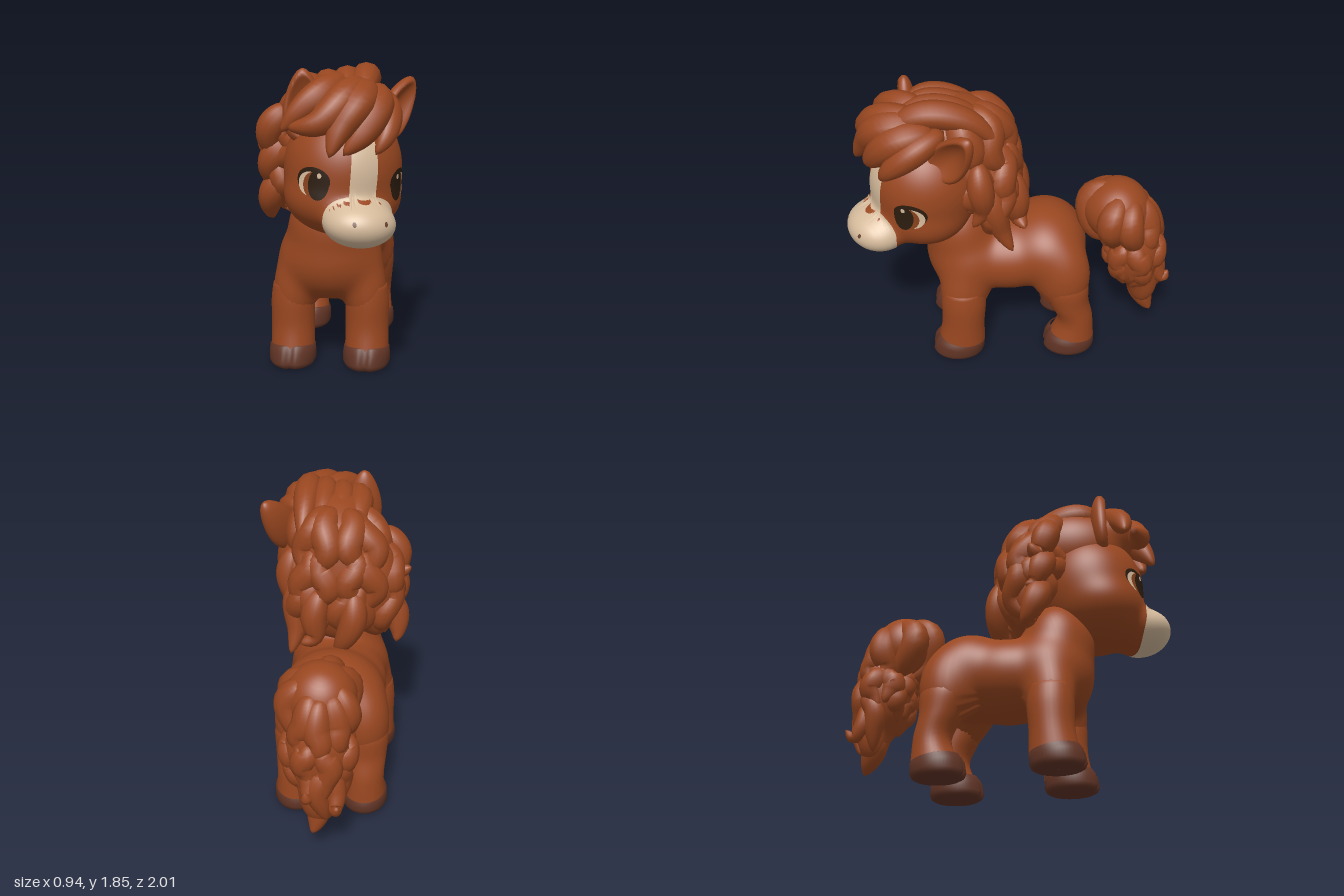
import * as THREE from 'three';
import { mergeVertices, mergeGeometries } from 'three/addons/utils/BufferGeometryUtils.js';

const paint = (name, color) => Object.assign(new THREE.MeshStandardMaterial({ color }), { name });
const V = (x, y, z) => new THREE.Vector3(x, y, z);
const dirOf = (az, el) => V(Math.cos(el) * Math.sin(az), Math.sin(el), Math.cos(el) * Math.cos(az));

// Distance along a direction to a soft union of ellipsoids [cx, cy, cz, rx, ry, rz]
function reach(c, d, ells, k = 0.018) {
  let lo = 0, hi = 1.2;
  for (let i = 0; i < 22; i++) {
    const t = (lo + hi) / 2;
    let sum = 0;
    for (const e of ells) {
      const q = Math.hypot((c.x + d.x * t - e[0]) / e[3], (c.y + d.y * t - e[1]) / e[4], (c.z + d.z * t - e[2]) / e[5]);
      sum += Math.exp(-(q - 1) * Math.min(e[3], e[4], e[5]) / k);
    }
    if (sum > 1) lo = t; else hi = t;
  }
  return lo;
}

function weld(g) {
  g.deleteAttribute('uv');
  g.deleteAttribute('normal');
  const out = mergeVertices(g, 1e-5);
  out.computeVertexNormals();
  return out;
}

// Rounded volume: a sphere pushed out to the soft union
function blob(c, ells, w = 80, h = 60, k = 0.018) {
  const g = new THREE.SphereGeometry(1, w, h), p = g.attributes.position, d = V(0, 0, 0);
  for (let i = 0; i < p.count; i++) {
    d.fromBufferAttribute(p, i).normalize();
    d.multiplyScalar(reach(c, d, ells, k)).add(c);
    p.setXYZ(i, d.x, d.y, d.z);
  }
  return weld(g);
}

// Skin over elliptical rings [y, cx, cz, rx, rz], listed upwards
function loft(rings, sides, tweak = () => {}) {
  const pos = [], idx = [];
  rings.forEach(([y, cx, cz, rx, rz], j) => {
    for (let i = 0; i < sides; i++) {
      const a = i / sides * Math.PI * 2, v = V(rx * Math.sin(a), y, rz * Math.cos(a));
      tweak(v, j);
      pos.push(v.x + cx, v.y, v.z + cz);
      if (j) {
        const n = (i + 1) % sides, A = (j - 1) * sides, B = j * sides;
        idx.push(A + i, A + n, B + n, A + i, B + n, B + i);
      }
    }
  });
  const g = new THREE.BufferGeometry();
  g.setAttribute('position', new THREE.Float32BufferAttribute(pos, 3));
  g.setIndex(idx);
  g.computeVertexNormals();
  return g;
}

function smoothRings(rings, n = 24) {
  const a = new THREE.CatmullRomCurve3(rings.map(r => V(r[1], r[0], r[2])));
  const b = new THREE.CatmullRomCurve3(rings.map(r => V(r[3], 0, r[4])));
  return Array.from({ length: n + 1 }, (_, i) => {
    const p = a.getPoint(i / n), q = b.getPoint(i / n);
    return [p.y, p.x, p.z, q.x, q.z];
  });
}

// Tapered lock of hair through the points
function lock(pts, r) {
  const seg = 22, rad = 12, path = new THREE.CatmullRomCurve3(pts);
  const g = new THREE.TubeGeometry(path, seg, r, rad), p = g.attributes.position, v = V(0, 0, 0);
  for (let i = 0; i < p.count; i++) {
    const t = Math.floor(i / (rad + 1)) / seg, c = path.getPointAt(t);
    const s = Math.pow(Math.max(0, Math.sin(Math.PI * Math.pow(t, 0.75))), 0.65);
    v.fromBufferAttribute(p, i).sub(c).multiplyScalar(s).add(c);
    p.setXYZ(i, v.x, v.y, v.z);
  }
  return weld(g);
}
const freeLock = ([r, ...pts]) => lock(pts.map(q => V(...q)), r);

// Lock lying on a rounded volume, following [azimuth, elevation] pairs
function lockOn(c, ells, path, r, sink) {
  return lock(path.map(([az, el], i) => {
    const d = dirOf(az, el), lift = i === path.length - 1 ? 0.01 : -sink;
    return d.multiplyScalar(reach(c, d, ells) + lift).add(c);
  }), r);
}

// Wavy locks hanging in rows [top elevation, drop, count, radius]
function lockRows(c, ells, rows, from, span, sink) {
  return rows.flatMap(([top, drop, n, r], row) => Array.from({ length: n }, (_, i) => {
    const az = from + (i + (row % 2) * 0.4) / n * span, w = i % 2 ? 0.14 : -0.14;
    const len = drop * (0.9 + 0.07 * ((i * 5) % 3));
    return lockOn(c, ells, [[az, top], [az + w, top + len * 0.33], [az - w * 0.4, top + len * 0.64],
      [az + w * 0.8, top + len * 0.88], [az + w * 2, top + len]], r, sink);
  }));
}

export function createModel() {
  const coat = paint('chestnut coat', 0x994720), hoofBrown = paint('hoof brown', 0x613425);
  const cream = paint('cream', 0xd6bb9c), dark = paint('eye dark', 0x2c1c0f);
  const iris = paint('iris brown', 0x87421d), nostrilBrown = paint('nostril brown', 0x6b4431);
  const root = new THREE.Group();
  const add = (parent, name, geo, mat) => {
    const m = new THREE.Mesh(geo, mat);
    m.name = name;
    parent.add(m);
    return m;
  };

  // Torso and neck with shoulders and haunches blended in
  const joints = [-1, 1].flatMap(s => [
    [-0.02 + s * 0.215, 0.45, 0.32, 0.125, 0.22, 0.14], [-0.02 + s * 0.2, 0.56, -0.31, 0.15, 0.24, 0.165]]);
  add(root, 'body', blob(V(-0.02, 0.65, 0.05), [
    [-0.02, 0.66, 0.28, 0.3, 0.26, 0.26], [-0.03, 0.65, 0.03, 0.3, 0.25, 0.3],
    [-0.02, 0.7, -0.2, 0.31, 0.26, 0.26], [-0.01, 0.86, 0.33, 0.25, 0.26, 0.22], ...joints], 110, 84, 0.026), coat);

  // Legs and hooves
  const legShapes = {
    front: [0.225, [[0.08, 0.34, 0.133, 0.15], [0.25, 0.325, 0.13, 0.135], [0.38, 0.32, 0.132, 0.14],
      [0.5, 0.32, 0.118, 0.13], [0.56, 0.32, 0.002, 0.002]], 0.36],
    hind: [0.21, [[0.08, -0.365, 0.133, 0.15], [0.24, -0.39, 0.12, 0.113], [0.38, -0.345, 0.132, 0.128],
      [0.5, -0.32, 0.14, 0.15], [0.6, -0.31, 0.1, 0.11], [0.64, -0.31, 0.002, 0.002]], -0.35],
  };
  for (const [kind, [off, rings, z]] of Object.entries(legShapes)) for (const s of [-1, 1]) {
    const x = -0.02 + s * off, side = s > 0 ? 'Left' : 'Right', tz = rings[0][1];
    add(root, kind + 'Leg' + side, loft(smoothRings(rings.map(([y, cz, rx, rz]) => [y, x, cz, rx, rz])), 32), coat);
    add(root, kind + 'Hoof' + side, loft([
      [0, x, z, 0.001, 0.001], [0, x, z, 0.115, 0.14], [0.01, x, z, 0.13, 0.157], [0.035, x, z, 0.142, 0.167],
      [0.08, x, z - 0.005, 0.142, 0.16], [0.116, x, tz, 0.138, 0.151], [0.122, x, tz, 0.125, 0.135]], 48, (v, j) => {
      if (v.z > 0) v.z *= 1 - 0.12 * Math.exp(-((v.x / 0.02) ** 2)); // cleft
      if (j > 3) v.y += 0.14 * v.z;                                  // sloping top
    }), hoofBrown);
  }

  // Head, turned towards its left
  const head = new THREE.Group();
  head.name = 'head';
  head.position.set(0.068, 1.24, 0.51);
  head.rotation.set(0, 0.45, -0.08);
  root.add(head);
  const O = V(0, 0, 0);
  const skull = [[0, 0.03, 0.015, 0.335, 0.35, 0.335], [0, -0.14, 0.05, 0.335, 0.225, 0.29], [0, -0.235, 0.33, 0.2, 0.13, 0.18]];
  add(head, 'skull', blob(O, skull, 120, 90), coat);

  // Painted patch lying on the head: superellipse in azimuth and elevation
  const decal = (name, az, el, rx, ry, lift, mat, power = 2) => {
    const R = 20, N = 56, pos = [], idx = [];
    for (let j = 0; j <= R; j++) for (let i = 0; i < N; i++) {
      const a = i / N * Math.PI * 2, c = Math.cos(a), s = Math.sin(a);
      const q = j / R / Math.pow(Math.abs(c) ** power + Math.abs(s) ** power, 1 / power);
      const d = dirOf(az + rx * q * c, el + ry * q * s);
      d.multiplyScalar(reach(O, d, skull) + lift);
      pos.push(d.x, d.y, d.z);
      if (j) {
        const n = (i + 1) % N, A = (j - 1) * N, B = j * N;
        idx.push(A + i, B + i, B + n, A + i, B + n, A + n);
      }
    }
    const g = new THREE.BufferGeometry();
    g.setAttribute('position', new THREE.Float32BufferAttribute(pos, 3));
    g.setIndex(idx);
    g.computeVertexNormals();
    add(head, name, g, mat);
  };
  decal('muzzlePatch', 0, -0.55, 0.6, 0.33, 0.007, cream, 2.3);
  decal('blaze', 0, 0.13, 0.225, 0.62, 0.005, cream, 5);
  for (const s of [-1, 1]) {
    decal('upperLash', s * 0.83, -0.05, 0.3, 0.21, 0.002, dark);
    decal('eyeWhite', s * 0.86, -0.1, 0.23, 0.185, 0.004, cream);
    decal('iris', s * 0.79, -0.11, 0.2, 0.2, 0.0055, iris);
    decal('pupil', s * 0.72, -0.1, 0.175, 0.23, 0.007, dark);
    decal('eyeGlint', s * 0.71, 0.04, 0.038, 0.042, 0.0085, cream);
    decal('nostril', s * 0.185, -0.39, 0.022, 0.02, 0.009, nostrilBrown);
  }

  // Cupped ears
  for (const s of [-1, 1]) {
    const g = new THREE.SphereGeometry(1, 36, 28), p = g.attributes.position;
    for (let i = 0; i < p.count; i++) {
      const x = p.getX(i), y = p.getY(i), z = p.getZ(i);
      const dish = z > 0 ? 0.085 * Math.max(0, 1 - (x * x + y * y) / 0.7) : 0;
      p.setXYZ(i, x * 0.115 * (1 - 0.3 * y), y * 0.21, z * 0.065 - dish);
    }
    const ear = add(head, s > 0 ? 'leftEar' : 'rightEar', weld(g), coat);
    ear.position.set(s > 0 ? 0.315 : -0.265, 0.36, s > 0 ? -0.005 : 0.03);
    ear.rotation.set(0, s > 0 ? 0.5 : -0.3, s > 0 ? -0.6 : 0.1);
  }

  // Mane: rounded under-volume, then broad locks flowing over it
  const H = V(-0.01, 1.35, 0.36);
  const hair = [[0.02, 1.51, 0.4, 0.27, 0.27, 0.36], [0.07, 1.61, 0.66, 0.2, 0.13, 0.2],
    [-0.25, 1.23, 0.2, 0.14, 0.33, 0.14], [-0.02, 1.26, 0.13, 0.25, 0.36, 0.15], [0.17, 1.17, 0.14, 0.11, 0.27, 0.12]];
  add(root, 'maneVolume', blob(H, hair), coat);
  const shell = [...hair, [0.06, 1.27, 0.48, 0.3, 0.33, 0.3]];
  const maneLocks = lockRows(H, shell, [[1.3, -1.25, 6, 0.1], [0.55, -1.1, 7, 0.092], [-0.05, -0.95, 7, 0.085]], 1.95, 2.95, 0.04);
  // flicked locks down the right side
  for (let i = 0; i < 3; i++) {
    const y = 1.5 - 0.2 * i, z = 0.33 - 0.03 * i;
    maneLocks.push(freeLock([0.085, [-0.26, y + 0.08, z], [-0.37, y - 0.06, z], [-0.39, y - 0.18, z - 0.05],
      [-0.46 + 0.04 * i, y - 0.14 - 0.05 * i, z - 0.09]]));
  }
  // locks at the nape and down the left side
  const napeLocks = [
    [0.085, [-0.12, 1.3, 0.02], [-0.12, 1.1, -0.02], [-0.06, 0.95, -0.02], [0, 0.86, 0.02]],
    [0.085, [0.08, 1.3, 0.02], [0.12, 1.12, -0.01], [0.12, 0.98, -0.03], [0.2, 0.95, -0.07]],
    [0.08, [0.18, 1.35, 0.18], [0.25, 1.16, 0.13], [0.24, 0.97, 0.08], [0.27, 0.83, 0.01]],
    [0.08, [0.26, 1.48, 0.22], [0.3, 1.3, 0.2], [0.27, 1.14, 0.19], [0.29, 1.03, 0.25]],
  ];
  maneLocks.push(...napeLocks.map(freeLock));
  add(root, 'maneLocks', mergeGeometries(maneLocks), coat);

  // Forelock sweeping from the crown across the brow
  const browLocks = [
    [0.1, [0.2, 1.72, 0.5], [0.11, 1.68, 0.76], [-0.03, 1.56, 0.86], [-0.2, 1.53, 0.84]],
    [0.1, [0.22, 1.71, 0.5], [0.18, 1.66, 0.76], [0.09, 1.53, 0.86], [0.04, 1.39, 0.94]],
    [0.1, [0.26, 1.69, 0.45], [0.27, 1.62, 0.69], [0.21, 1.5, 0.8], [0.11, 1.39, 0.87]],
    [0.085, [0.25, 1.68, 0.4], [0.33, 1.58, 0.59], [0.33, 1.47, 0.72], [0.28, 1.38, 0.78]],
    [0.09, [0.1, 1.75, 0.5], [-0.02, 1.7, 0.7], [-0.14, 1.61, 0.77], [-0.24, 1.5, 0.8]],
  ];
  const forelock = browLocks.map(freeLock);
  // arches running back over the crown
  for (let i = 0; i < 4; i++) {
    const x = 0.2 - 0.08 * i, u = 0.025 * i;
    forelock.push(freeLock([0.085, [x, 1.68, 0.73 - u], [x - u, 1.76 - u * 0.7, 0.5], [x - u, 1.71 - u, 0.26],
      [x - u, 1.54 - u, 0.07 + u]]));
  }
  add(root, 'forelock', mergeGeometries(forelock), coat);

  // Bushy tail
  const T = V(0, 0.72, -0.73);
  const tail = [[0.01, 0.95, -0.65, 0.21, 0.205, 0.2], [0.01, 0.66, -0.77, 0.2, 0.28, 0.17],
    [0, 0.4, -0.84, 0.12, 0.19, 0.1], [0, 0.96, -0.54, 0.12, 0.12, 0.1]];
  add(root, 'tailVolume', blob(T, tail, 60, 48), coat);
  const tailLocks = lockRows(T, tail, [[1.35, -1.6, 8, 0.09], [0.35, -1.3, 8, 0.08], [-0.4, -0.9, 6, 0.07]], 0, Math.PI * 2, 0.04);
  // curled tips
  const tips = [
    [0.06, [0.06, 0.66, -0.86], [0.05, 0.5, -0.91], [0.06, 0.44, -0.96], [0.07, 0.5, -0.99]],
    [0.06, [-0.08, 0.6, -0.84], [-0.1, 0.42, -0.87], [-0.1, 0.35, -0.93], [-0.11, 0.4, -0.98]],
    [0.08, [-0.02, 0.45, -0.8], [0, 0.3, -0.83], [0.02, 0.2, -0.87], [0.04, 0.15, -0.9]],
  ];
  tailLocks.push(...tips.map(freeLock));
  add(root, 'tailLocks', mergeGeometries(tailLocks), coat);
  return root;
}
